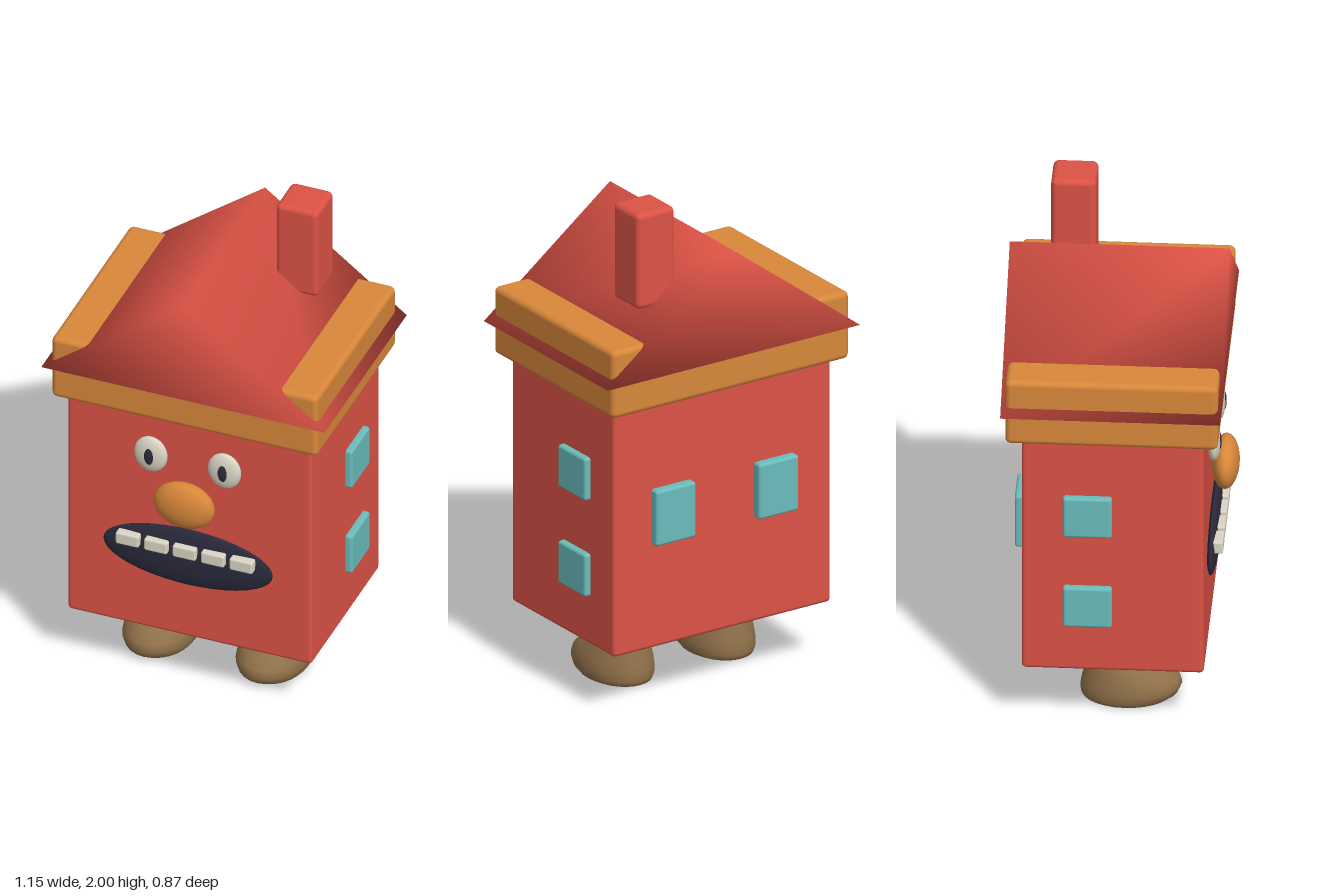
import * as THREE from 'three';
import { RoundedBoxGeometry } from 'three/addons/geometries/RoundedBoxGeometry.js';

const paint = (name, color) => {
  const m = new THREE.MeshStandardMaterial({ color });
  m.name = name;
  return m;
};

export function createModel() {
  const red = paint('brick red', 0xdc5245);
  const orange = paint('orange', 0xd8873a);
  const teal = paint('window teal', 0x6abcbc);
  const cream = paint('cream', 0xdad5c5);
  const dark = paint('dark navy', 0x2a2a3c);
  const brown = paint('shoe brown', 0x8f7049);
  const model = new THREE.Group();
  model.name = 'houseCharacter';

  const add = (name, geometry, material) => {
    const mesh = new THREE.Mesh(geometry, material);
    mesh.name = name;
    model.add(mesh);
    return mesh;
  };
  // Rounded box given by its extents on each axis
  const box = (name, [x0, x1], [y0, y1], [z0, z1], radius, material) =>
    add(name, new RoundedBoxGeometry(x1 - x0, y1 - y0, z1 - z0, 3, radius), material)
      .position.set((x0 + x1) / 2, (y0 + y1) / 2, (z0 + z1) / 2);
  const ellipsoid = (name, x, y, z, rx, ry, rz, material) =>
    add(name, new THREE.SphereGeometry(1, 32, 20).scale(rx, ry, rz), material).position.set(x, y, z);

  // House body, eaves and chimney
  box('body', [-0.497, 0.497], [0.25, 1.27], [-0.36, 0.33], 0.016, red);
  box('eaves', [-0.542, 0.542], [1.255, 1.53], [-0.42, 0.386], 0.022, orange);
  box('chimney', [0.168, 0.34], [1.61, 2], [-0.291, -0.12], 0.022, red);

  // Gable roof: prism with shared, softly shaded corners
  const roof = new THREE.BufferGeometry();
  const corners = [0.396, -0.436].flatMap(z => [-0.577, 1.39, z, 0.577, 1.39, z, 0, 1.828, z]);
  roof.setAttribute('position', new THREE.Float32BufferAttribute(corners, 3));
  roof.setIndex([0, 1, 2, 4, 3, 5, 1, 4, 5, 1, 5, 2, 3, 0, 2, 3, 2, 5, 0, 3, 4, 0, 4, 1]);
  roof.computeVertexNormals();
  add('roof', roof, red);

  // Face
  for (const s of [-1, 1]) {
    ellipsoid('eye', s * 0.15, 1.07, 0.347, 0.067, 0.078, 0.026, cream);
    ellipsoid('pupil', s * 0.15, 1.07, 0.362, 0.026, 0.044, 0.014, dark);
  }
  ellipsoid('nose', 0, 0.895, 0.382, 0.123, 0.1, 0.053, orange);
  ellipsoid('mouth', 0, 0.63, 0.343, 0.345, 0.127, 0.026, dark);
  for (let i = -2; i <= 2; i++) {
    const x = i * 0.116;
    box('tooth', [x - 0.047, x + 0.047], [0.648, 0.7], [0.35, 0.389], 0.008, cream);
  }

  // Windows: two stacked on each side, two on the back
  for (const s of [-1, 1]) {
    const sideX = s > 0 ? [0.485, 0.523] : [-0.523, -0.485];
    for (const y of [0.45, 0.843]) box('sideWindow', sideX, [y, y + 0.173], [-0.203, -0.017], 0.012, teal);
    box('backWindow', [s * 0.235 - 0.091, s * 0.235 + 0.091], [0.677, 0.903], [-0.397, -0.35], 0.012, teal);
  }

  // Shoes: oval cross-sections [y, half width, back z, front z], capped flat
  const rings = [
    [0, 0.112, -0.135, 0.17], [0.006, 0.125, -0.147, 0.19], [0.025, 0.137, -0.154, 0.218],
    [0.055, 0.14, -0.152, 0.232], [0.085, 0.136, -0.146, 0.222], [0.115, 0.127, -0.138, 0.19],
    [0.145, 0.115, -0.131, 0.147], [0.177, 0.1, -0.124, 0.098],
  ];
  const n = 28;
  const oval = ([y, w, back, front]) => Array.from({ length: n }, (_, i) => {
    const a = (i / n) * Math.PI * 2;
    return [w * Math.sin(a), y, (front + back) / 2 + (front - back) / 2 * Math.cos(a)];
  }).flat();
  const last = rings.length - 1;
  const pos = [...rings, rings[0], rings[last]].flatMap(oval);
  const index = [];
  for (let r = 0; r < last; r++) {
    for (let i = 0; i < n; i++) {
      const a = r * n + i, b = r * n + (i + 1) % n;
      index.push(a, b, b + n, a, b + n, a + n);
    }
  }
  const bottom = rings.length * n, top = bottom + n;
  for (let i = 1; i < n - 1; i++) {
    index.push(bottom, bottom + i + 1, bottom + i, top, top + i, top + i + 1);
  }
  const shoe = new THREE.BufferGeometry();
  shoe.setAttribute('position', new THREE.Float32BufferAttribute(pos, 3));
  shoe.setIndex(index);
  shoe.computeVertexNormals();
  add('rightShoe', shoe, brown).position.x = -0.231;
  add('leftShoe', shoe, brown).position.x = 0.231;

  return model;
}
